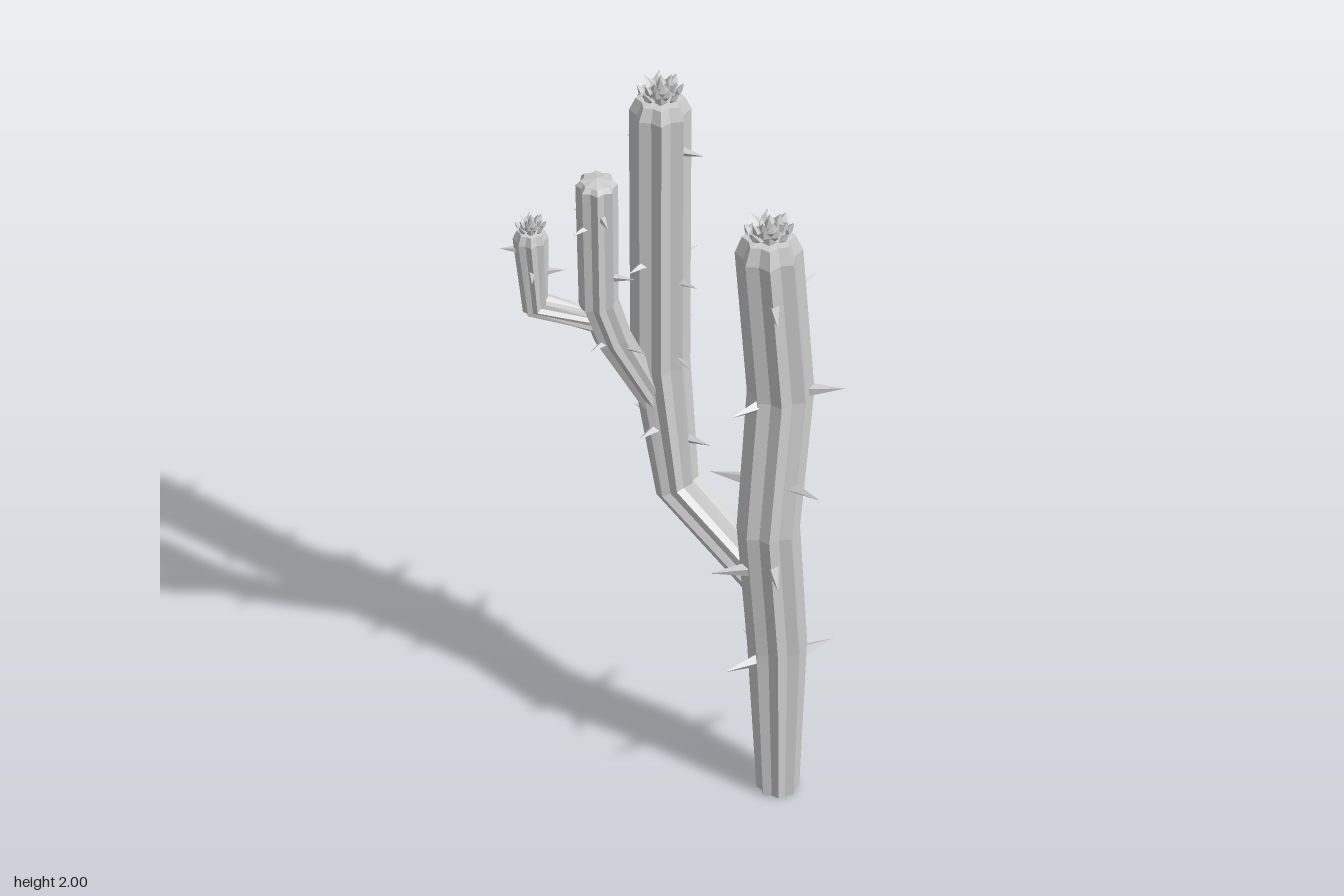
import * as THREE from 'three';

const material = new THREE.MeshStandardMaterial({ color: 0xcccccc, flatShading: true });
const UP = new THREE.Vector3(0, 1, 0);
const spineGeometry = new THREE.ConeGeometry(1, 1, 4).translate(0, 0.5, 0);
const petalGeometry = new THREE.OctahedronGeometry(1, 0).translate(0, 1, 0);

// Ribbed skin swept along rings { point, radius }, star-shaped in section
function stemGeometry(rings) {
  const sides = 16, pos = [], index = [];
  rings.forEach(({ point, radius }, i) => {
    const t = new THREE.Vector3();
    if (i > 0) t.add(point.clone().sub(rings[i - 1].point).normalize());
    if (i < rings.length - 1) t.add(rings[i + 1].point.clone().sub(point).normalize());
    t.normalize();
    const u = new THREE.Vector3(0, 0, 1).projectOnPlane(t).normalize();
    const v = t.clone().cross(u);
    for (let j = 0; j < sides; j++) {
      const angle = (j / sides) * Math.PI * 2, r = radius * (j % 2 ? 0.84 : 1.03);
      const q = point.clone().addScaledVector(u, r * Math.cos(angle)).addScaledVector(v, r * Math.sin(angle));
      pos.push(q.x, Math.max(q.y, 0), q.z);
      if (i < rings.length - 1) {
        const a = i * sides + j, b = i * sides + ((j + 1) % sides);
        index.push(a, b, b + sides, a, b + sides, a + sides);
      }
    }
  });
  const geometry = new THREE.BufferGeometry();
  geometry.setAttribute('position', new THREE.Float32BufferAttribute(pos, 3));
  geometry.setIndex(index);
  geometry.computeVertexNormals();
  return geometry;
}

// Axis point and radius of a stem at a given height
function axisAt(rings, y) {
  let i = 0;
  while (i < rings.length - 2 && rings[i + 1].point.y < y) i++;
  const a = rings[i], b = rings[i + 1];
  const f = (y - a.point.y) / (b.point.y - a.point.y);
  return { point: a.point.clone().lerp(b.point, f), radius: THREE.MathUtils.lerp(a.radius, b.radius, f) };
}

// Four-sided thorn pointing away from the stem axis
function makeSpine({ point, radius }, degrees, reach, thickness) {
  const angle = THREE.MathUtils.degToRad(degrees);
  const dir = new THREE.Vector3(Math.cos(angle), 0.06, Math.sin(angle)).normalize();
  const spine = new THREE.Mesh(spineGeometry, material);
  spine.name = 'spine';
  spine.position.copy(point).addScaledVector(dir, radius * 0.75);
  spine.quaternion.setFromUnitVectors(UP, dir);
  spine.scale.set(thickness, reach - radius * 0.75, thickness);
  return spine;
}

// Rosette of pointed petals in rings that close towards the middle
function makeFlower(radius, height) {
  const flower = new THREE.Group();
  flower.name = 'flower';
  [8, 7, 5, 1].forEach((count, k) => {
    const inward = 1 - k / 3;
    for (let i = 0; i < count; i++) {
      const pivot = new THREE.Group();
      pivot.rotation.y = ((i + k * 0.5) / count) * Math.PI * 2;
      const petal = new THREE.Mesh(petalGeometry, material);
      petal.name = 'petal';
      petal.position.z = 0.55 * inward * radius;
      petal.rotation.x = 0.52 * inward;
      petal.scale.set(radius * 0.27, height * (0.5 - 0.1 * inward), radius * 0.13);
      pivot.add(petal);
      flower.add(pivot);
    }
  });
  return flower;
}

// path: [x, y, z, radius] points up to the shoulder; spineRows: [height, ...angles]
function makeStem({ name, path, capHeight, spineRows, reach, thickness, flower }) {
  const stem = new THREE.Group();
  stem.name = name;
  const rings = path.map(([x, y, z, radius]) => ({ point: new THREE.Vector3(x, y, z), radius }));
  const shoulder = rings[rings.length - 1];
  const rise = (h, radius) => ({ point: shoulder.point.clone().addScaledVector(UP, h), radius });
  const apex = rise(capHeight + 0.007, 0.001);
  const base = { point: rings[0].point.clone(), radius: 0.001 };
  base.point.addScaledVector(rings[1].point.clone().sub(base.point), -0.002);
  const skin = new THREE.Mesh(stemGeometry([base, ...rings, rise(capHeight, shoulder.radius * 0.79), apex]), material);
  skin.name = name + 'Skin';
  stem.add(skin);
  for (const [y, ...angles] of spineRows) {
    angles.forEach((degrees, i) => {
      const place = axisAt(rings, y + 0.018 * (1 - i));
      stem.add(makeSpine(place, degrees, reach, thickness));
    });
  }
  if (flower) {
    const crown = makeFlower(flower.radius, flower.height);
    crown.position.copy(apex.point);
    crown.position.y -= 0.007;
    stem.add(crown);
  }
  return stem;
}

export function createModel() {
  const model = new THREE.Group();
  model.name = 'cactus';
  model.add(
    makeStem({
      name: 'trunk',
      path: [[0.2, 0, -0.11, 0.05], [0.193, 0.43, -0.115, 0.07], [0.194, 0.8, -0.083, 0.074],
        [0.184, 1.18, -0.137, 0.079], [0.18, 1.62, -0.1, 0.08]],
      capHeight: 0.045,
      spineRows: [[1.47, 42, 214, 270], [1.18, 219, 320, 97, 252], [0.92, 0, 150],
        [0.69, 40, 270, 122], [0.38, 102, 290, 194]],
      reach: 0.155, thickness: 0.018,
      flower: { radius: 0.07, height: 0.055 },
    }),
    makeStem({
      name: 'tallArm',
      path: [[0.18, 0.595, -0.1, 0.045], [-0.085, 0.79, -0.062, 0.054],
        [-0.135, 1.15, -0.055, 0.07], [-0.135, 1.91, -0.055, 0.073]],
      capHeight: 0.035,
      spineRows: [[1.78, 343, 268, 183], [1.45, 88, 202, 278, 357], [1.2, 272, 162, 8], [0.96, 85, 180, 350]],
      reach: 0.117, thickness: 0.014,
      flower: { radius: 0.062, height: 0.058 },
    }),
    makeStem({
      name: 'middleArm',
      path: [[-0.131, 1.05, -0.025, 0.034], [-0.165, 1.28, 0.08, 0.044],
        [-0.178, 1.4, 0.115, 0.047], [-0.18, 1.755, 0.12, 0.05]],
      capHeight: 0.012,
      spineRows: [[1.66, 30, 270, 90, 187], [1.46, 333, 210], [1.26, 85, 355, 200]],
      reach: 0.092, thickness: 0.011,
    }),
    makeStem({
      name: 'smallArm',
      path: [[-0.19, 1.338, 0.12, 0.028], [-0.28, 1.4, 0.228, 0.036], [-0.285, 1.605, 0.24, 0.042]],
      capHeight: 0.023,
      spineRows: [[1.57, 230, 135], [1.5, 48, 315]],
      reach: 0.078, thickness: 0.01,
      flower: { radius: 0.04, height: 0.042 },
    }),
  );
  return model;
}
